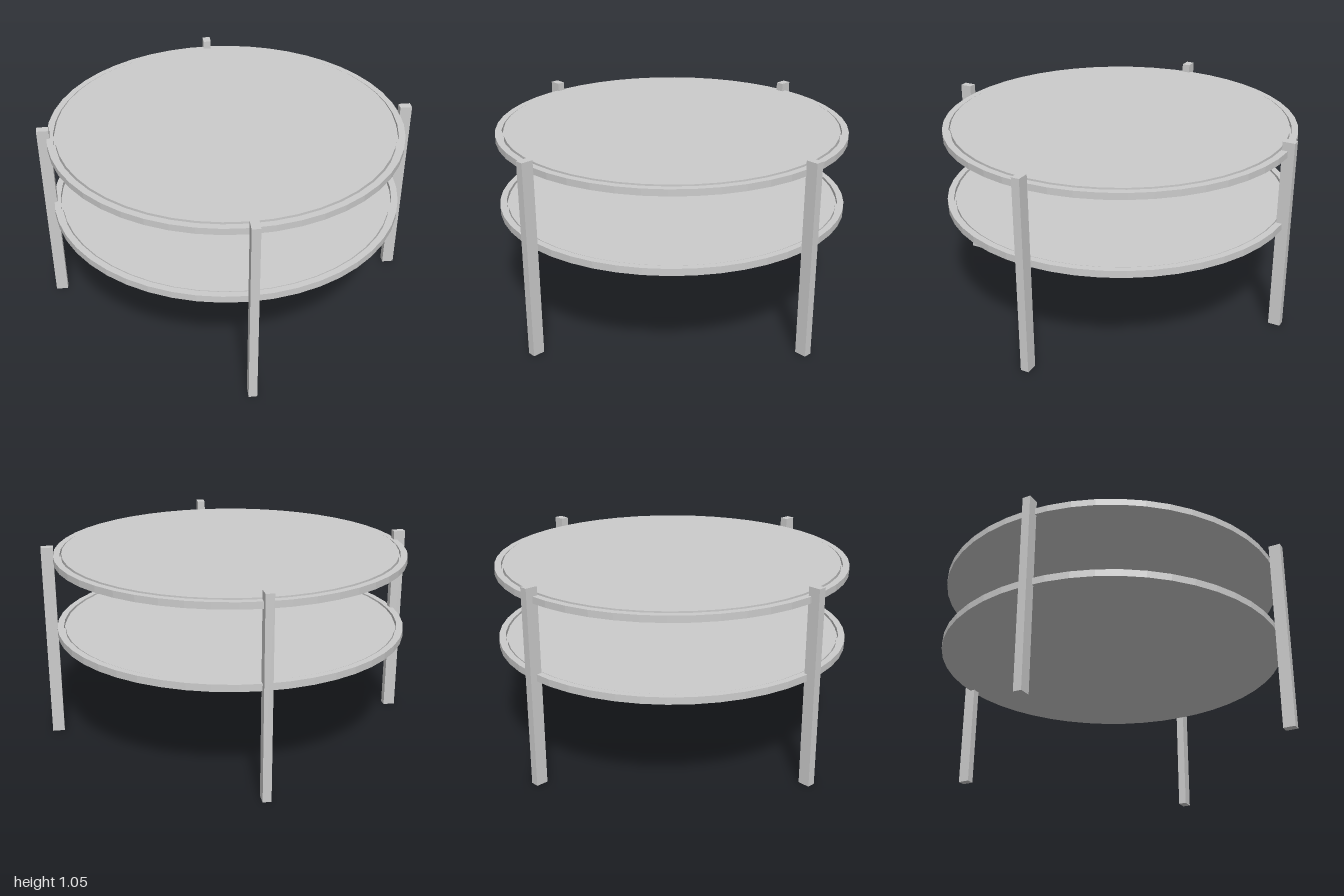
import * as THREE from 'three';

const material = new THREE.MeshStandardMaterial({ color: 0xcccccc });
const SEGMENTS = 48;
const CENTRE = { x: -0.007, z: -0.02 };

function addMesh(parent, name, geometry, x, y, z) {
  const mesh = new THREE.Mesh(geometry, material);
  mesh.name = name;
  mesh.position.set(x, y, z);
  parent.add(mesh);
  return mesh;
}

// Square-edged ring, turned from a closed rectangular section
function ringGeometry(inner, outer, height) {
  const corners = [[inner, 0], [outer, 0], [outer, height], [inner, height], [inner, 0]];
  const points = [];
  // doubled corners keep the edges crisp
  for (let i = 0; i < 4; i++) {
    points.push(new THREE.Vector2(...corners[i]), new THREE.Vector2(...corners[i + 1]));
  }
  const geometry = new THREE.LatheGeometry(points, SEGMENTS).toNonIndexed();
  geometry.computeVertexNormals();
  return geometry;
}

// Round shelf: a rim around a panel, separated by a fine groove
function addShelf(parent, name, bottom, rimHeight, panelHeight) {
  const shelf = new THREE.Group();
  shelf.name = name;
  shelf.position.set(CENTRE.x, bottom, CENTRE.z);
  addMesh(shelf, 'rim', ringGeometry(0.912, 0.947, rimHeight), 0, 0, 0);
  addMesh(shelf, 'panel', new THREE.CylinderGeometry(0.903, 0.903, panelHeight, SEGMENTS),
    0, panelHeight / 2, 0);
  // thin base closing the groove
  addMesh(shelf, 'base', new THREE.CylinderGeometry(0.914, 0.914, 0.012, SEGMENTS), 0, 0.006, 0);
  parent.add(shelf);
}

export function createModel() {
  const table = new THREE.Group();
  table.name = 'roundTable';

  addShelf(table, 'topShelf', 0.973, 0.035, 0.04);
  addShelf(table, 'lowerShelf', 0.57, 0.037, 0.033);

  // Four legs, each set slightly to one side of its axis
  const height = 1.054, depth = 0.064, width = 0.044;
  const alongZ = new THREE.BoxGeometry(width, height, depth);
  const alongX = new THREE.BoxGeometry(depth, height, width);
  const reach = 1 - depth / 2;
  addMesh(table, 'frontLeg', alongZ, 0.013, height / 2, reach);
  addMesh(table, 'backLeg', alongZ, -0.018, height / 2, -reach);
  addMesh(table, 'leftLeg', alongX, reach, height / 2, -0.018);
  addMesh(table, 'rightLeg', alongX, -reach, height / 2, 0.013);

  return table;
}
